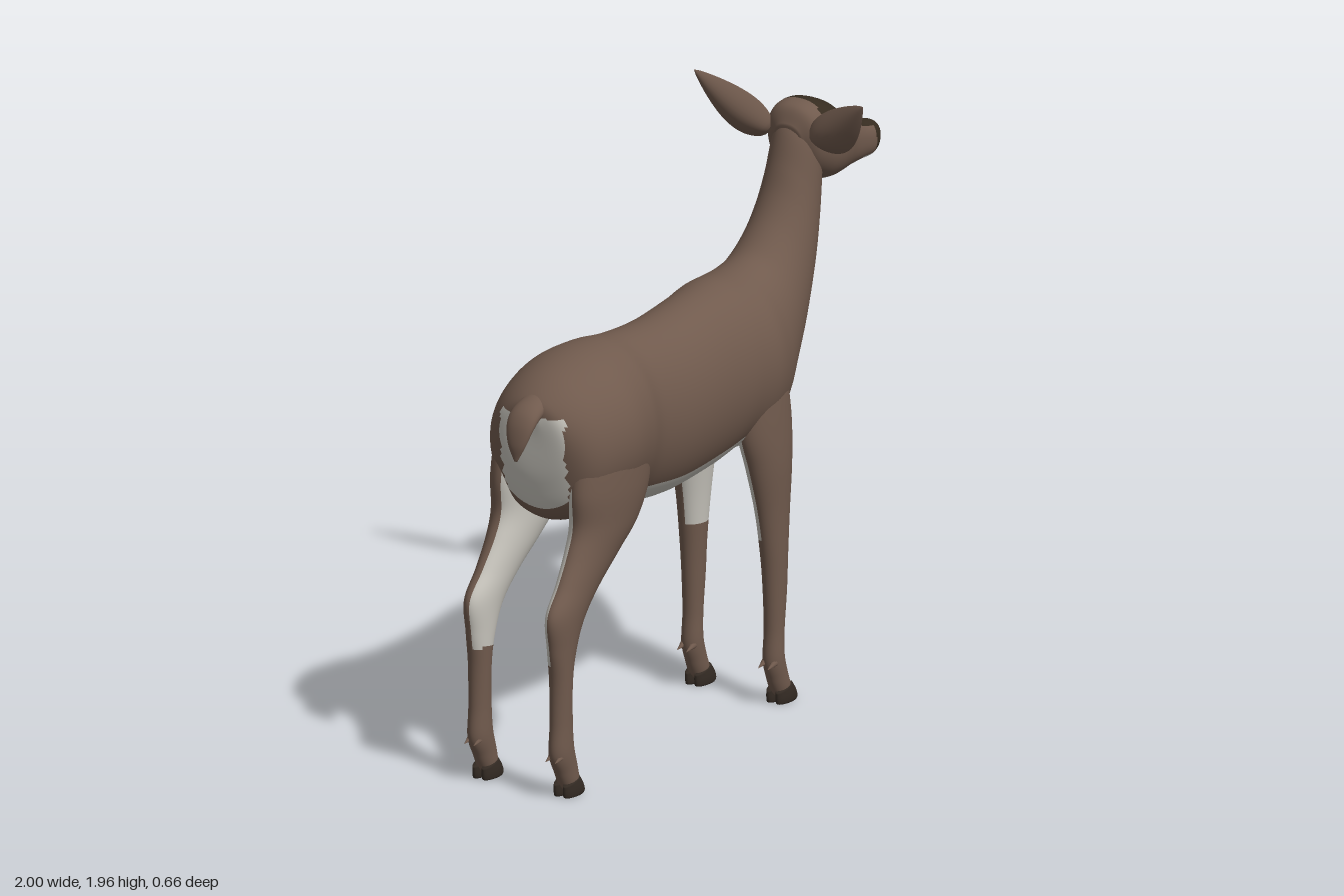
import * as THREE from 'three';

const mat = (name, color) => Object.assign(new THREE.MeshStandardMaterial({ color }), { name });
const FUR = 0, PALE = 1, DARK = 2, HOOF = 3, EYE = 4, LID = 5;
const MATS = [
  mat('brown fur', 0x705a4d), mat('pale fur', 0xc6c3bb), mat('dark fur', 0x362c20),
  mat('hoof', 0x332a23), mat('eye', 0x1d1712), mat('eyelid', 0x3d2f26),
];

// Closed tube over a grid: point(t, angle) gives the surface, paint(p, angle, t) the material.
function tube(name, rows, cols, point, paint) {
  const pos = [], faces = MATS.map(() => []), mid = new THREE.Vector3();
  const vs = [];
  for (let i = 0; i <= rows; i++)
    for (let j = 0; j < cols; j++) vs.push(point(i / rows, (j / cols) * Math.PI * 2));
  const id = (i, j) => i * cols + (j % cols);
  for (let i = 0; i < rows; i++)
    for (let j = 0; j < cols; j++) {
      const a = id(i, j), b = id(i, j + 1), c = id(i + 1, j), d = id(i + 1, j + 1);
      mid.copy(vs[a]).add(vs[b]).add(vs[c]).add(vs[d]).multiplyScalar(0.25);
      const m = paint(mid, ((j + 0.5) / cols) * Math.PI * 2, (i + 0.5) / rows);
      faces[m].push(a, b, c, b, d, c);
    }
  // end caps
  for (const i of [0, rows]) {
    const centre = new THREE.Vector3();
    for (let j = 0; j < cols; j++) centre.addScaledVector(vs[id(i, j)], 1 / cols);
    vs.push(centre);
    const k = vs.length - 1, m = paint(centre, 0, i / rows);
    for (let j = 0; j < cols; j++)
      faces[m].push(...(i ? [k, id(i, j), id(i, j + 1)] : [k, id(i, j + 1), id(i, j)]));
  }
  vs.forEach((v) => pos.push(v.x, v.y, v.z));
  const geo = new THREE.BufferGeometry();
  geo.setAttribute('position', new THREE.Float32BufferAttribute(pos, 3));
  const used = [], index = [];
  faces.forEach((f, m) => {
    if (!f.length) return;
    geo.addGroup(index.length, f.length, used.length);
    used.push(MATS[m]);
    for (const n of f) index.push(n);
  });
  geo.setIndex(index);
  geo.computeVertexNormals();
  const mesh = new THREE.Mesh(geo, used.length > 1 ? used : used[0]);
  mesh.name = name;
  return mesh;
}

// Smooth loft through elliptical sections [ax, ay, bx, by, halfWidth, z]; a and b are opposite rim points.
function loft(name, sections, paint, { steps = 8, cols = 64, n = 2 } = {}) {
  const curve = (f) => new THREE.CatmullRomCurve3(sections.map(f), false, 'catmullrom', 0.5);
  const ca = curve((s) => new THREE.Vector3(s[0], s[1], s[4]));
  const cb = curve((s) => new THREE.Vector3(s[2], s[3], s[5] || 0));
  const pw = (v) => Math.sign(v) * Math.abs(v) ** (2 / n);
  return tube(name, (sections.length - 1) * steps, cols, (t, q) => {
    const a = ca.getPoint(t), b = cb.getPoint(t), c = pw(Math.cos(q)), s = pw(Math.sin(q));
    return new THREE.Vector3(
      (a.x + b.x) / 2 + ((a.x - b.x) / 2) * c,
      (a.y + b.y) / 2 + ((a.y - b.y) / 2) * c,
      b.z + a.z * s);
  }, paint);
}

const { smoothstep } = THREE.MathUtils;

// Torso and neck, rump to throat
function body() {
  return loft('bodyAndNeck', [
    [-0.885, 1.235, -0.875, 1.17, 0.03], [-0.865, 1.285, -0.855, 1.0, 0.14],
    [-0.78, 1.345, -0.80, 0.87, 0.215], [-0.65, 1.385, -0.65, 0.85, 0.25],
    [-0.52, 1.392, -0.52, 0.84, 0.232], [-0.4, 1.38, -0.4, 0.815, 0.20],
    [-0.2, 1.375, -0.22, 0.80, 0.20], [0, 1.40, 0, 0.82, 0.20],
    [0.11, 1.418, 0.11, 0.845, 0.21], [0.2, 1.42, 0.22, 0.85, 0.215],
    [0.27, 1.432, 0.33, 0.88, 0.19], [0.335, 1.46, 0.42, 0.99, 0.16],
    [0.405, 1.53, 0.51, 1.13, 0.132], [0.455, 1.61, 0.585, 1.31, 0.112],
    [0.488, 1.70, 0.63, 1.46, 0.097], [0.52, 1.80, 0.65, 1.6, 0.088],
    [0.56, 1.86, 0.65, 1.66, 0.08],
  ], (p, q) => {
    if (p.x < -0.83 && p.y < 1.23 && Math.abs(p.z) < 0.125) return PALE;
    const fromBelow = Math.abs(q - Math.PI);
    return p.x > -0.7 && fromBelow < 0.75 + 0.22 * smoothstep(p.y, 1.1, 1.5) ? PALE : FUR;
  });
}

// Head with dark crown and snout ridge, dark nose and pale chin
function head() {
  return loft('head', [
    [0.525, 1.82, 0.55, 1.72, 0.05], [0.555, 1.88, 0.58, 1.66, 0.1],
    [0.62, 1.893, 0.64, 1.62, 0.122], [0.69, 1.87, 0.69, 1.61, 0.122],
    [0.75, 1.825, 0.75, 1.61, 0.102], [0.82, 1.782, 0.82, 1.61, 0.074],
    [0.9, 1.745, 0.9, 1.61, 0.056], [0.96, 1.73, 0.955, 1.61, 0.05],
    [0.99, 1.717, 0.98, 1.625, 0.042], [0.998, 1.69, 0.99, 1.65, 0.02],
  ], (p, q) => {
    if (p.x > 0.955 && p.y > 1.635) return DARK;
    if (p.y < 1.626 && p.x > 0.6) return PALE;
    const fromTop = Math.min(q, Math.PI * 2 - q);
    return p.x > 0.6 && fromTop < 1.05 - 0.3 * smoothstep(p.x, 0.68, 0.85) ? DARK : FUR;
  }, { n: 2.3 });
}

// Upright ear: cupped leaf, pale inside
function ear(s) {
  const root = new THREE.Vector3(0.555, 1.785, 0.085 * s);
  const tip = new THREE.Vector3(0.485, 1.957, 0.328 * s);
  const across = new THREE.Vector3(0, -0.82 * s, 0.57);
  return tube(s > 0 ? 'leftEar' : 'rightEar', 24, 32, (t, q) => {
    const w = 0.022 * (1 - t) + 0.058 * Math.sin(Math.PI * t ** 0.85) ** 0.8 + 0.001;
    const front = Math.sin(q) > 0, k = Math.sin(q) ** 2;
    const p = root.clone().lerp(tip, t).addScaledVector(across, w * Math.cos(q));
    p.y -= 0.025 * Math.sin(Math.PI * t);
    p.x += 0.02 * Math.sin(Math.PI * t) - w * k * (front ? 0.3 : 0.62) + (1 - t) ** 4 * 0.02 * k * (front ? 1 : 0);
    return p;
  }, (p, q, t) => (q < Math.PI && q > 0.15 && q < 2.99 && t > 0.12 ? PALE : FUR));
}

// Eye set in a dark lid
function eye(s) {
  const g = new THREE.Group();
  g.name = s > 0 ? 'leftEye' : 'rightEye';
  for (const [name, m, sx, sy, sz, z] of [
    ['eyelid', LID, 0.05, 0.036, 0.02, 0.106], ['eyeball', EYE, 0.03, 0.024, 0.018, 0.112]]) {
    const e = new THREE.Mesh(new THREE.SphereGeometry(1, 24, 16), MATS[m]);
    e.name = name;
    e.scale.set(sx, sy, sz);
    e.position.set(0.69, 1.797, z * s);
    e.rotation.set(-0.35 * s, 0.25 * s, -0.1);
    g.add(e);
  }
  return g;
}

// Leg from shoulder or haunch to pastern, with two-toed hoof and dewclaws
function leg(name, s, sections, paleTo, fx) {
  const g = new THREE.Group();
  g.name = (s > 0 ? 'left' : 'right') + name;
  const mirrored = sections.map((r) => [...r.slice(0, 5), r[5] * s]);
  g.add(loft('limb', mirrored, (p, q) => {
    if (p.x < -0.825 && p.y > 0.85 && p.y < 1.2 && Math.abs(p.z) < 0.135) return PALE;
    const inward = -s * Math.sin(q);
    return p.y > paleTo && inward > 0.3 + 0.2 * Math.cos(q) ? PALE : FUR;
  }, { cols: 40 }));
  for (const k of [-1, 1]) {
    const z = s * 0.158 + k * 0.018;
    g.add(loft('hoof', [
      [fx + 0.066, 0.062, fx - 0.012, 0.04, 0.016, z], [fx + 0.085, 0.035, fx - 0.012, 0.018, 0.02, z],
      [fx + 0.095, 0.012, fx - 0.01, 0.004, 0.02, z], [fx + 0.09, 0, fx - 0.006, 0, 0.018, z],
    ], () => HOOF, { cols: 20, steps: 4 }));
    const claw = new THREE.Mesh(new THREE.ConeGeometry(0.013, 0.045, 10), MATS[FUR]);
    claw.name = 'dewclaw';
    claw.position.set(fx - 0.043, 0.137, z);
    claw.rotation.z = 1.9;
    g.add(claw);
  }
  return g;
}

const FRONT_LEG = [
  [0.29, 1.22, 0.12, 1.22, 0.05, 0.13], [0.32, 1.06, 0.1, 1.06, 0.068, 0.13],
  [0.33, 0.93, 0.1, 0.92, 0.07, 0.137], [0.318, 0.8, 0.13, 0.8, 0.063, 0.147],
  [0.303, 0.65, 0.167, 0.65, 0.05, 0.153], [0.29, 0.5, 0.19, 0.5, 0.042, 0.157],
  [0.285, 0.38, 0.2, 0.38, 0.037, 0.158], [0.273, 0.25, 0.205, 0.25, 0.033, 0.158],
  [0.272, 0.17, 0.2, 0.145, 0.035, 0.158], [0.29, 0.105, 0.218, 0.08, 0.034, 0.158],
  [0.308, 0.06, 0.235, 0.04, 0.033, 0.158], [0.315, 0.04, 0.245, 0.025, 0.028, 0.158],
];
const HIND_LEG = [
  [-0.52, 1.25, -0.78, 1.25, 0.06, 0.13], [-0.48, 1.12, -0.82, 1.12, 0.085, 0.145],
  [-0.47, 0.98, -0.843, 0.98, 0.088, 0.152], [-0.53, 0.855, -0.84, 0.87, 0.08, 0.152],
  [-0.63, 0.76, -0.872, 0.79, 0.066, 0.152], [-0.74, 0.665, -0.93, 0.7, 0.052, 0.155],
  [-0.82, 0.575, -0.995, 0.61, 0.045, 0.158], [-0.865, 0.48, -0.985, 0.5, 0.039, 0.158],
  [-0.887, 0.38, -0.97, 0.39, 0.036, 0.158], [-0.885, 0.25, -0.97, 0.25, 0.034, 0.158],
  [-0.878, 0.17, -0.975, 0.145, 0.036, 0.158], [-0.86, 0.105, -0.947, 0.08, 0.034, 0.158],
  [-0.85, 0.06, -0.927, 0.04, 0.033, 0.158], [-0.845, 0.04, -0.918, 0.025, 0.028, 0.158],
];

// Short drooping tail, pale beneath
function tail() {
  return loft('tail', [
    [-0.957, 1.098, -0.951, 1.098, 0.006], [-0.962, 1.155, -0.935, 1.15, 0.034],
    [-0.947, 1.222, -0.915, 1.188, 0.05], [-0.91, 1.268, -0.885, 1.212, 0.054],
    [-0.83, 1.305, -0.84, 1.22, 0.05],
  ], (p, q) => (Math.abs(q - Math.PI) < 1.2 ? PALE : FUR), { cols: 32 });
}

export function createModel() {
  const model = new THREE.Group();
  model.name = 'doe';
  model.add(body(), head(), tail());
  for (const s of [1, -1])
    model.add(ear(s), eye(s), leg('FrontLeg', s, FRONT_LEG, 0.55, 0.24), leg('HindLeg', s, HIND_LEG, 0.45, -0.925));
  return model;
}
